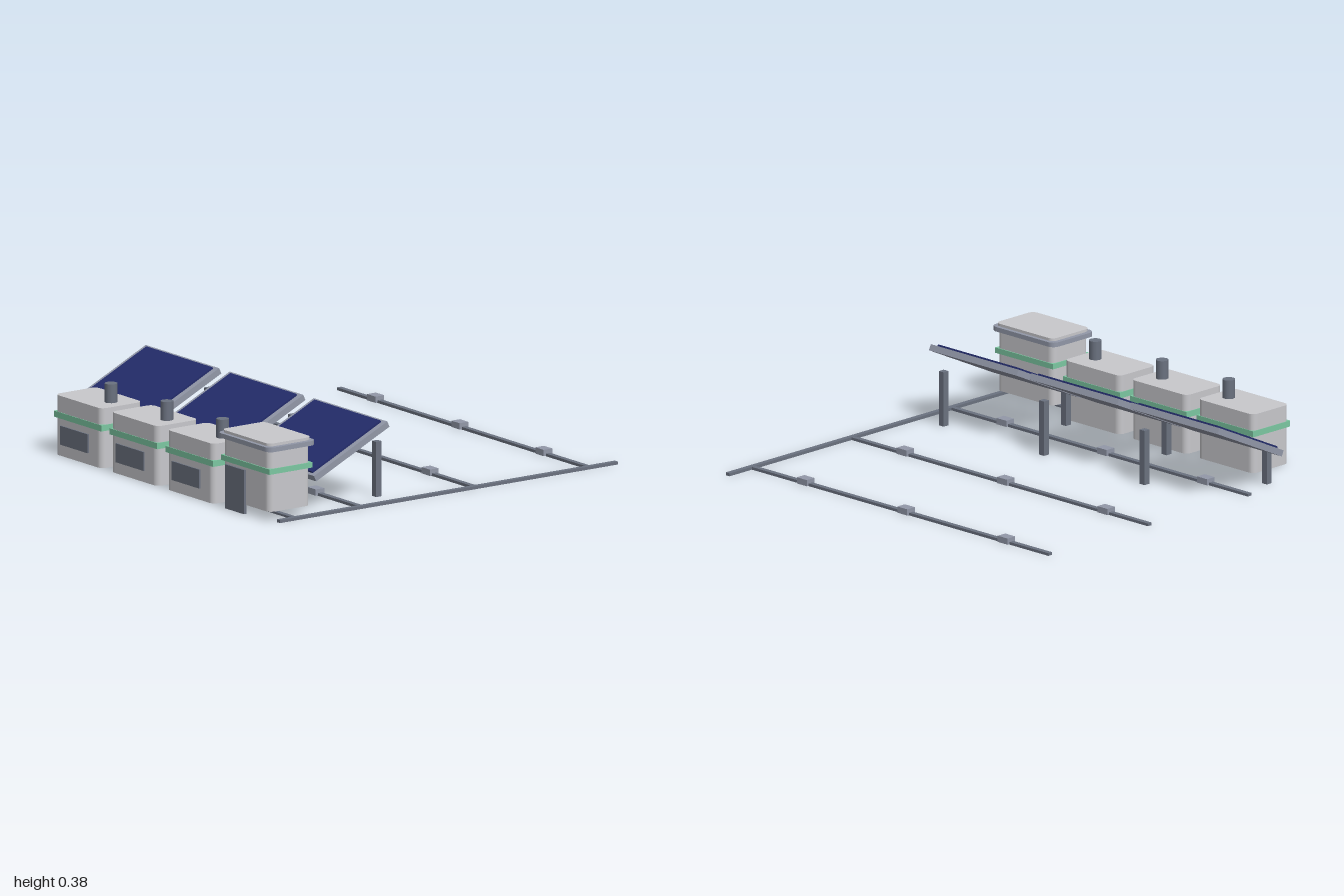
import * as THREE from 'three';

const mat = (name, color) => Object.assign(new THREE.MeshStandardMaterial({ color }), { name });

export function createModel() {
  const shell = mat('pale shell', 0xc8c8cc);
  const steel = mat('dark steel', 0x6b7280);
  const frame = mat('light slate', 0x9298a8);
  const green = mat('green band', 0x7cc8a2);
  const cells = mat('navy cells', 0x232c6b);

  const root = new THREE.Group();
  root.name = 'solarOutpost';

  const add = (parent, name, geometry, material, x, y, z) => {
    const mesh = new THREE.Mesh(geometry, material);
    mesh.name = name;
    mesh.position.set(x, y, z);
    parent.add(mesh);
    return mesh;
  };
  const box = (parent, name, material, w, h, d, x, y, z) =>
    add(parent, name, new THREE.BoxGeometry(w, h, d), material, x, y, z);
  const group = (name, x, z) => {
    const g = new THREE.Group();
    g.name = name;
    g.position.set(x, 0, z);
    root.add(g);
    return g;
  };

  // Upright block with rounded vertical corners, standing on y = 0
  const roundedBlock = (w, d, h, r) => {
    const s = new THREE.Shape();
    const a = w / 2, b = d / 2;
    s.absarc(a - r, b - r, r, 0, Math.PI / 2);
    s.absarc(-a + r, b - r, r, Math.PI / 2, Math.PI);
    s.absarc(-a + r, -b + r, r, Math.PI, Math.PI * 1.5);
    s.absarc(a - r, -b + r, r, Math.PI * 1.5, Math.PI * 2);
    const g = new THREE.ExtrudeGeometry(s, { depth: h, bevelEnabled: false, curveSegments: 5 });
    return g.rotateX(-Math.PI / 2);
  };

  // Three cabins with window, band and chimney
  const rowZ = 0.855;
  for (const x of [-0.565, -0.13, 0.305]) {
    const pod = group('cabin', x, rowZ);
    add(pod, 'cabinBody', roundedBlock(0.364, 0.238, 0.285, 0.03), shell, 0, 0, 0);
    box(pod, 'cabinBand', green, 0.37, 0.029, 0.244, 0, 0.192, 0);
    box(pod, 'window', steel, 0.216, 0.09, 0.009, -0.025, 0.1, 0.122);
    add(pod, 'chimney', new THREE.CylinderGeometry(0.03, 0.03, 0.095, 12), steel, 0.095, 0.327, 0);
  }

  // Taller raised control room with roof rim and door
  const office = group('controlRoom', 0.743, rowZ);
  add(office, 'controlRoomBody', roundedBlock(0.366, 0.238, 0.325, 0.03), shell, 0, 0.045, 0);
  add(office, 'roofRim', roundedBlock(0.41, 0.275, 0.022, 0.035), frame, 0, 0.335, 0);
  add(office, 'roofCap', roundedBlock(0.374, 0.248, 0.012, 0.03), shell, 0, 0.36, 0);
  box(office, 'controlRoomBand', green, 0.376, 0.026, 0.248, 0, 0.238, 0);
  box(office, 'door', steel, 0.15, 0.21, 0.014, -0.076, 0.107, 0.123);

  // Tilted solar panels, each on one short and one tall post
  for (const x of [-0.697, -0.042, 0.613]) {
    const array = group('solarPanel', x, 0.48);
    const tilt = new THREE.Group();
    tilt.name = 'tiltedPanel';
    tilt.position.y = 0.26;
    tilt.rotation.x = 0.442;
    array.add(tilt);
    box(tilt, 'panelFrame', frame, 0.573, 0.03, 0.468, 0, 0, 0);
    box(tilt, 'panelCells', cells, 0.515, 0.009, 0.437, 0, 0.0195, 0);
    box(array, 'frontPost', steel, 0.032, 0.16, 0.032, -0.198, 0.08, 0.196);
    box(array, 'backPost', steel, 0.032, 0.263, 0.032, 0.198, 0.1315, -0.21);

    // Junction boxes on the cable rails
    for (const z of [0.475, -0.183, -0.84]) {
      box(root, 'junctionBox', frame, 0.065, 0.03, 0.05, x, 0.017, z);
    }
  }

  // Ground rails
  box(root, 'mainRail', steel, 0.025, 0.014, 1.95, 0.963, 0.007, -0.025);
  for (const z of [0.475, -0.183, -0.84]) {
    box(root, 'branchRail', steel, 1.94, 0.013, 0.025, -0.012, 0.0065, z);
  }
  box(root, 'cabinRail', steel, 1.6, 0.01, 0.025, 0.155, 0.008, rowZ);

  return root;
}
